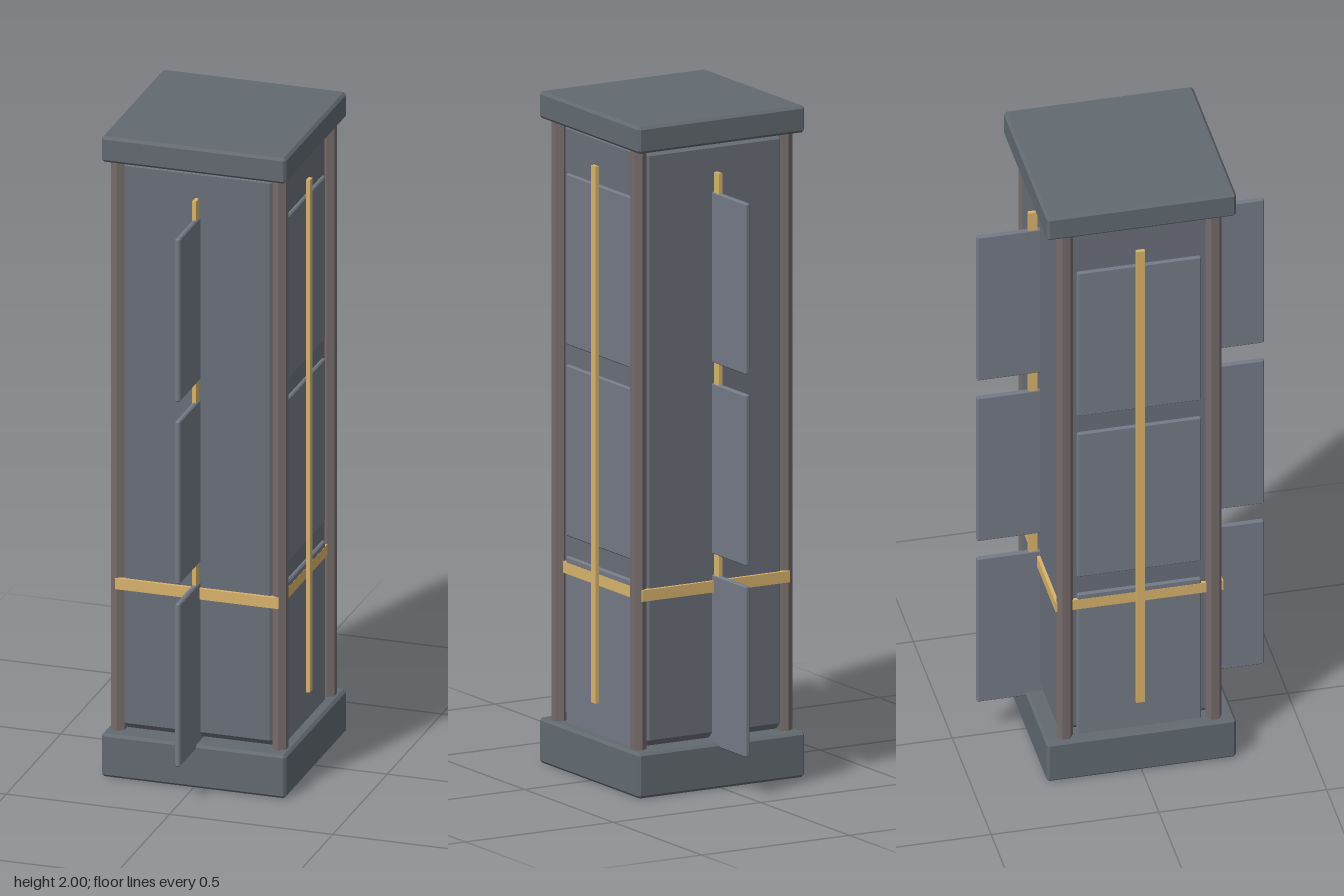
import * as THREE from 'three';
import { ConvexGeometry } from 'three/addons/geometries/ConvexGeometry.js';

const material = (color) => new THREE.MeshStandardMaterial({ color });
const slate = material(0x626a71);
const wall = material(0x6a6f79);
const plate = material(0x747a86);
const bronze = material(0x756b6a);
bronze.flatShading = true;
const gold = material(0xd9b36c);

// Box with every edge chamfered by c
function chamferBox(w, h, d, c) {
  const points = [];
  for (const x of [-1, 1]) for (const y of [-1, 1]) for (const z of [-1, 1]) {
    const a = w / 2, b = h / 2, e = d / 2;
    points.push(
      new THREE.Vector3(x * a, y * (b - c), z * (e - c)),
      new THREE.Vector3(x * (a - c), y * b, z * (e - c)),
      new THREE.Vector3(x * (a - c), y * (b - c), z * e)
    );
  }
  return new ConvexGeometry(points);
}

export function createModel() {
  const model = new THREE.Group();
  model.name = 'panelledPillar';

  const add = (name, geometry, mat, x, y, z) => {
    const mesh = new THREE.Mesh(geometry, mat);
    mesh.name = name;
    mesh.position.set(x, y, z);
    model.add(mesh);
  };

  // Plinth, shaft and cap
  add('base', chamferBox(0.565, 0.135, 0.565, 0.008), slate, 0, 0.0675, 0);
  add('shaft', chamferBox(0.48, 1.78, 0.48, 0.02), wall, 0, 1.03, 0);
  add('cap', chamferBox(0.565, 0.08, 0.565, 0.008), slate, 0, 1.96, 0);

  // Hexagonal corner posts
  const post = new THREE.CylinderGeometry(0.024, 0.024, 1.8, 6);
  for (const x of [-1, 1]) for (const z of [-1, 1]) {
    add('cornerPost', post, bronze, x * 0.247, 1.03, z * 0.222);
  }

  // Band around the shaft
  add('band', new THREE.BoxGeometry(0.5, 0.034, 0.5), gold, 0, 0.595, 0);

  // Plates lie flat on the sides and stand out as fins front and back
  const panel = chamferBox(0.016, 0.51, 0.37, 0.004);
  const strip = new THREE.BoxGeometry(0.012, 1.6, 0.026);
  for (const s of [-1, 1]) {
    for (const y of [0.375, 0.945, 1.515]) {
      add('sidePanel', panel, plate, s * 0.2415, y, 0);
      add('fin', panel, plate, 0, y, s * 0.243);
    }
    add('sideStrip', strip, gold, s * 0.261, 1.03, 0);
    add('finStrip', strip, gold, 0, 1.03, s * 0.261);
  }
  return model;
}
